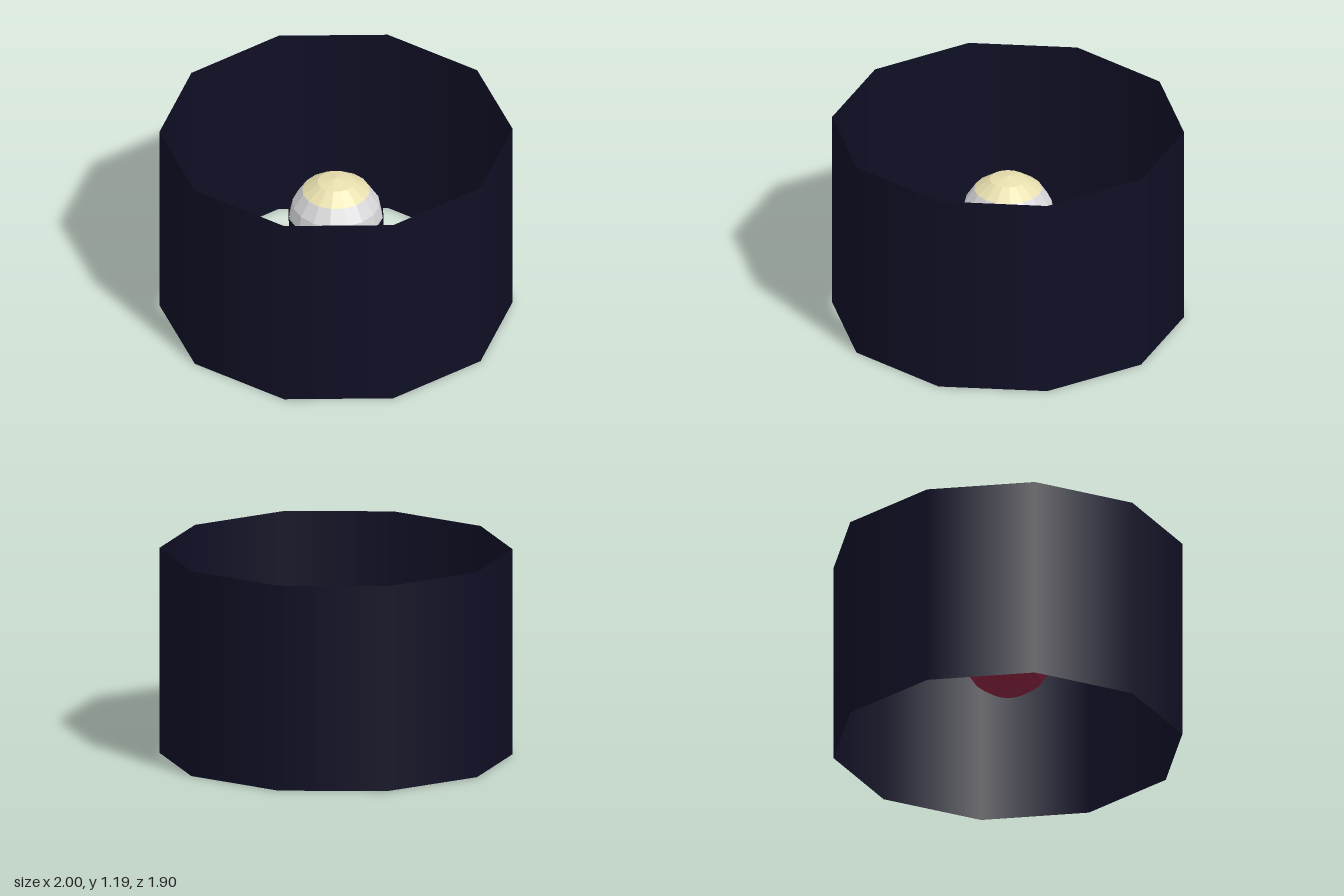
import * as THREE from 'three';

const HEIGHT = 1.19;
const RADIUS = 0.267;

function material(name, color, options = {}) {
  const m = new THREE.MeshStandardMaterial({ color, ...options });
  m.name = name;
  return m;
}

export function createModel() {
  const group = new THREE.Group();
  group.name = 'orbInDrum';
  const navy = material('navy', 0x0f0f25, { side: THREE.DoubleSide });
  const cream = material('cream', 0xe8dfae, { flatShading: true });
  const white = material('paleGrey', 0xd8d8da, { flatShading: true });
  const red = material('crimson', 0x8c2440, { flatShading: true });

  function add(name, geometry, mat) {
    const mesh = new THREE.Mesh(geometry, mat);
    mesh.name = name;
    mesh.position.y = HEIGHT / 2;
    group.add(mesh);
  }

  // Open ten-sided surround, corners on the x axis
  add('surroundWall', new THREE.CylinderGeometry(1, 1, HEIGHT, 10, 1, true, Math.PI / 2), navy);

  // Ball in zones measured in degrees down from its top
  const zones = [
    ['ballCap', 0, 46, 2, cream],
    ['ballMiddle', 46, 112, 3, white],
    ['ballBase', 112, 180, 3, red],
  ];
  for (const [name, from, to, rings, mat] of zones) {
    const start = THREE.MathUtils.degToRad(from);
    const sweep = THREE.MathUtils.degToRad(to - from);
    add(name, new THREE.SphereGeometry(RADIUS, 16, rings, 0, Math.PI * 2, start, sweep), mat);
  }

  // Thin dark band round the ball's widest line
  add('ballBand', new THREE.CylinderGeometry(0.272, 0.272, 0.06, 16, 1, true), navy);

  return group;
}
